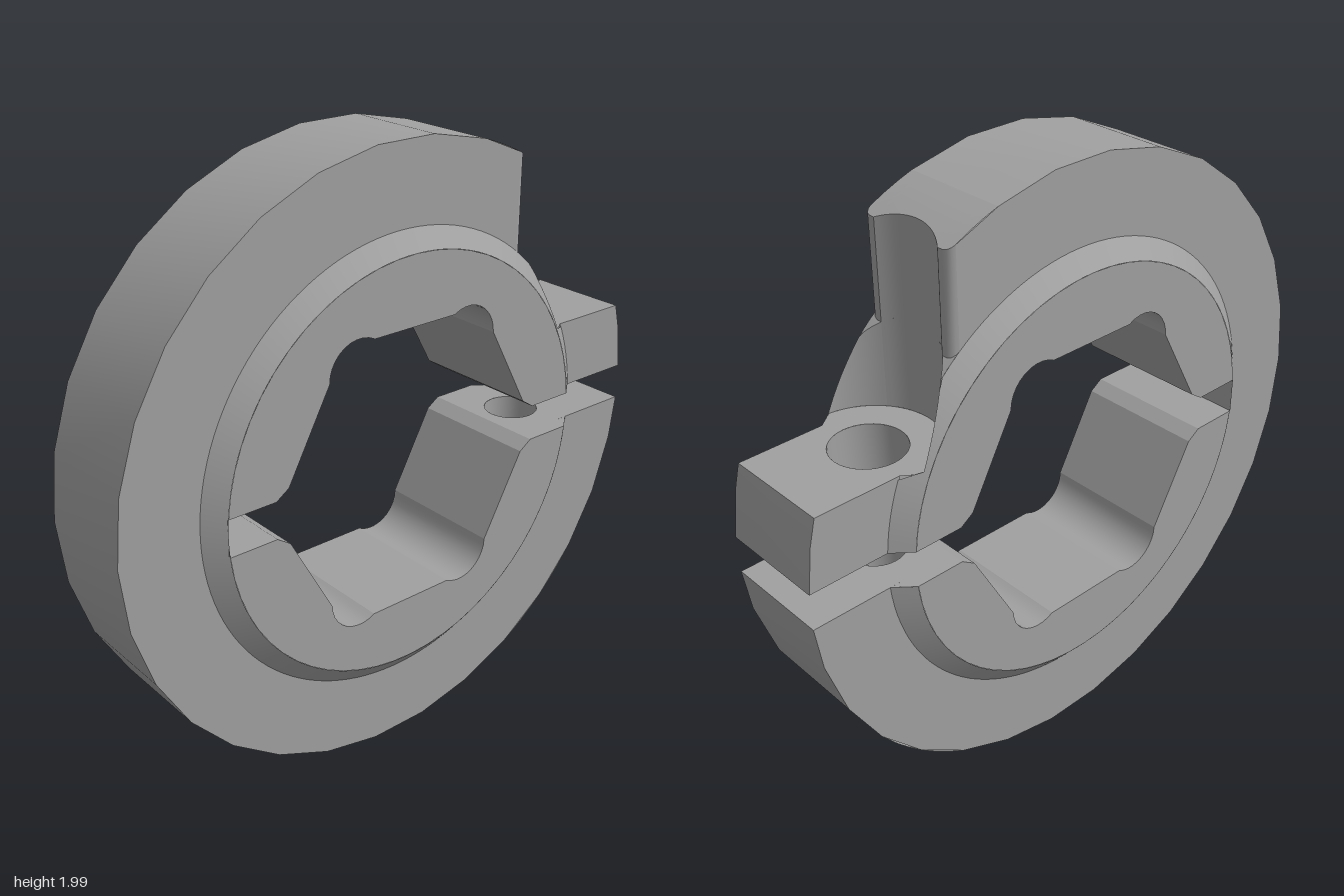
import * as THREE from 'three';

// Split clamp collar: ring centred at (0, 1), bore along z, bolt along y.
const CY = 1, HALF = 0.175, HUB_HALF = 0.225, HUB_R = 0.74, FACE_R = 0.68;
const GAP = 0.06, SEAT_Y = 1.29, BOLT_X = 0.65, SCOOP_R = 0.215, END_X = 0.48;
const RAD = Math.PI / 180;

const range = (n, f) => Array.from({ length: n + 1 }, (_, i) => f(i / n));
const lerp = THREE.MathUtils.lerp;
const arcY = (r, x) => CY + Math.sqrt(Math.max(0, r * r - x * x));
const polar = (r, a) => [r * Math.cos(a), CY + r * Math.sin(a)];
const hubRadius = z => HUB_R - Math.max(0, Math.abs(z) - HALF) * (HUB_R - FACE_R) / (HUB_HALF - HALF);

export function createModel() {
  const group = new THREE.Group();
  const metal = new THREE.MeshStandardMaterial({ color: 0xa0a0a0, side: THREE.DoubleSide });
  metal.name = 'grey metal';

  const add = (name, geometry) => {
    const mesh = new THREE.Mesh(geometry, metal);
    mesh.name = name;
    group.add(mesh);
  };

  // Smooth surface through rows of points
  const loft = (name, rows) => {
    const n = rows[0].length, index = [];
    for (let i = 0; i < rows.length - 1; i++) {
      for (let j = 0; j < n - 1; j++) {
        const a = i * n + j, b = a + n;
        index.push(a, b, a + 1, b, b + 1, a + 1);
      }
    }
    const g = new THREE.BufferGeometry();
    g.setAttribute('position', new THREE.Float32BufferAttribute(rows.flat(2), 3));
    g.setIndex(index);
    g.computeVertexNormals();
    add(name, g);
  };

  // Wall running along z over a line of [x, y] points
  const wall = (name, pts, h) => loft(name, [-h, h].map(z => pts.map(([x, y]) => [x, y, z])));

  const flat = pts => new THREE.Shape(pts.map(p => new THREE.Vector2(...p)));

  // Matching faces at +z and -z
  const faces = (name, pts, z) => {
    for (const s of [1, -1]) {
      const g = new THREE.ShapeGeometry(flat(pts));
      if (s < 0) g.rotateY(Math.PI).scale(-1, 1, 1), g.index.array.reverse();
      const normals = g.attributes.normal;
      for (let i = 0; i < normals.count; i++) normals.setXYZ(i, 0, 0, s);
      add(name, g.translate(0, 0, s * z));
    }
  };

  // Horizontal plate outlined by [x, z], symmetric in z, with an optional bolt hole
  const plate = (name, half, y, hole, up) => {
    const shape = flat([...half, ...half.map(([x, z]) => [x, -z]).reverse()]);
    if (hole) {
      const path = new THREE.Path();
      path.absarc(BOLT_X, 0, hole, 0, Math.PI * 2, true);
      shape.holes.push(path);
    }
    const g = new THREE.ShapeGeometry(shape, 20);
    g.rotateX(up ? -Math.PI / 2 : Math.PI / 2);
    add(name, g.translate(0, y, 0));
  };

  // Bore: hexagon with relieved corners, mirrored into four quarters
  const lobe = range(10, t => {
    const a = t * 120 * RAD;
    return [0.21 + 0.11 * Math.cos(a), 1.365 + 0.11 * Math.sin(a)];
  });
  const lip = [0.515, CY + GAP], lipTop = [0.47, 1.09];
  const quarter = [lip, lipTop, ...lobe];
  const topEnd = lobe[lobe.length - 1];
  const flip = ([x, y], sx, sy) => [sx * x, CY + sy * (y - CY)];
  for (const sy of [1, -1]) {
    for (const sx of [1, -1]) {
      for (const run of [[lip, lipTop], [lipTop, lobe[0]], lobe]) {
        wall('boreWall', run.map(p => flip(p, sx, sy)), HUB_HALF);
      }
    }
    wall('boreFlat', [1, -1].map(sx => flip(topEnd, sx, sy)), HUB_HALF);

    // Hub faces above and below the split
    const a0 = Math.asin(GAP / FACE_R);
    const outline = [
      ...range(28, t => polar(FACE_R, lerp(a0, Math.PI - a0, t))),
      ...quarter.map(p => flip(p, -1, 1)),
      ...[...quarter].reverse(),
    ];
    faces('hubFace', outline.map(p => flip(p, 1, sy)), HUB_HALF);
  }

  // Hub chamfer, stopping where the bolt-head recess cuts it
  const recessed = ([x, y, z]) => y > SEAT_Y &&
    (x > BOLT_X || Math.hypot(x - BOLT_X, z) < SCOOP_R);
  for (const s of [1, -1]) {
    const columns = range(120, u => {
      const at = t => {
        const r = lerp(FACE_R, HUB_R, t), a0 = Math.asin(GAP / r);
        return [...polar(r, lerp(a0, 2 * Math.PI - a0, u)), lerp(HUB_HALF, HALF, t)];
      };
      let lo = 0, hi = 1;
      if (!recessed(at(1))) lo = 1;
      else for (let i = 0; i < 20; i++) {
        const mid = (lo + hi) / 2;
        if (recessed(at(mid))) hi = mid; else lo = mid;
      }
      return [0, 0.5, 1].map(k => at(k * lo)).map(([x, y, z]) => [x, y, s * z]);
    });
    loft('hubChamfer', s > 0 ? columns : columns.map(c => c.reverse()));

    // Sliver of hub between recess and ring end
    loft('hubShoulder', range(8, u => {
      const [x, y] = polar(HUB_R, lerp(44.8, 52, u) * RAD);
      const lim = Math.sqrt(Math.max(0, SCOOP_R ** 2 - (x - BOLT_X) ** 2));
      return [[x, y, s * HALF], [x, y, s * Math.min(HALF, lim)]];
    }));
  }

  // Ring faces
  const slotX = Math.sqrt(1 - GAP * GAP), cutX = 0.455;
  const ringArc = range(23, t => polar(1, lerp(72, 348, t) * RAD));
  faces('ringFace', [
    [cutX, arcY(1, cutX)], ...ringArc, [slotX, CY - GAP],
    ...range(40, t => polar(0.7, lerp(355.1, 52.1, t) * RAD)),
    [cutX, arcY(HUB_R, cutX)],
  ], HALF);

  // Ring rim, leaving room for the bolt exit between 300 and 324 degrees
  wall('ringRim', range(19, t => polar(1, lerp(72, 300, t) * RAD)), HALF);
  wall('ringRim', [324, 336, 348].map(a => polar(1, a * RAD)).concat([[slotX, CY - GAP]]), HALF);

  // Rim patch around the bolt exit: loops from circle to rectangle
  const [x0, x1] = [Math.cos(300 * RAD), Math.cos(324 * RAD)];
  const lowHole = 0.09, rimY = x => 2 * CY - arcY(1, x);
  loft('boltExitRim', range(4, t => range(32, u => {
    const a = u * Math.PI * 2, c = Math.cos(a), d = Math.sin(a), m = Math.max(Math.abs(c), Math.abs(d));
    const edgeX = BOLT_X + (c > 0 ? x1 - BOLT_X : BOLT_X - x0) * c / m;
    const x = lerp(BOLT_X + lowHole * c, edgeX, t);
    return [x, rimY(x), lerp(lowHole * d, HALF * d / m, t)];
  })));

  // Bolt holes
  const hole = (name, r, top, bottom) => loft(name, [top, bottom].map(f => range(32, u => {
    const x = BOLT_X + r * Math.cos(u * Math.PI * 2);
    return [x, f(x), -r * Math.sin(u * Math.PI * 2)];
  })));
  hole('upperBoltHole', 0.115, () => SEAT_Y, () => CY + GAP);
  hole('lowerBoltHole', lowHole, () => CY - GAP, rimY);

  // Clamping gap
  const jaw = [[0.515, HUB_HALF], [0.677, HUB_HALF], [0.737, HALF], [slotX, HALF]];
  plate('upperJaw', jaw, CY + GAP, 0.115, false);
  plate('lowerJaw', jaw, CY - GAP, lowHole, true);
  const hinge = [[-0.68, HUB_HALF], [-0.515, HUB_HALF]];
  plate('upperHingeGap', hinge, CY + GAP, 0, false);
  plate('lowerHingeGap', hinge, CY - GAP, 0, true);
  wall('hingeGapEnd', [[-0.68, CY - GAP], [-0.68, CY + GAP]], HUB_HALF);

  // Flange that carries the bolt head
  const flangeEnd = [[0.957, SEAT_Y], polar(1, 12 * RAD), [slotX, CY + GAP]];
  faces('flangeFace', [[0.68, SEAT_Y], ...flangeEnd, [0.7, CY + GAP]], HALF);
  wall('flangeEnd', flangeEnd, HALF);
  const scoop = a => [BOLT_X - SCOOP_R * Math.cos(a), SCOOP_R * Math.sin(a)];
  plate('boltSeat', [...range(16, t => scoop(t * 84 * RAD)), [0.68, HALF], [0.957, HALF]], SEAT_Y, 0.115, true);

  // Recess wall: tall in the ring, tapering along the hub on both sides
  const edge = Math.acos((BOLT_X - END_X) / SCOOP_R);
  const upright = (name, pts, low, high) => loft(name, [low, high].map(f => pts.map(([x, z]) => [x, f(x, z), z])));
  const seat = () => SEAT_Y, rim = x => arcY(1, x);
  const hubTop = (x, z) => Math.max(SEAT_Y, arcY(hubRadius(z), x));
  const middle = range(16, t => scoop(lerp(edge, -edge, t)));
  upright('recessWall', middle, seat, rim);
  const corner = [[cutX, HALF], [0.466, 0.172], [0.476, 0.163], [END_X, 0.15], [END_X, middle[0][1]]];
  for (const s of [1, -1]) {
    const side = pts => pts.map(([x, z]) => [x, s * z]);
    upright('recessWing', side(range(16, t => scoop(lerp(edge, 84 * RAD, t)))), seat, hubTop);
    upright('ringEnd', side(corner), x => arcY(HUB_R, x), rim);
  }

  // Rim between the last full facet and the recess edge
  const path = [...corner, ...middle, ...corner.map(([x, z]) => [x, -z]).reverse()];
  loft('ringRimEnd', range(3, t => path.map(([px, z]) => {
    const x = lerp(Math.cos(72 * RAD), px, t);
    return [x, rim(x), z];
  })));

  return group;
}
